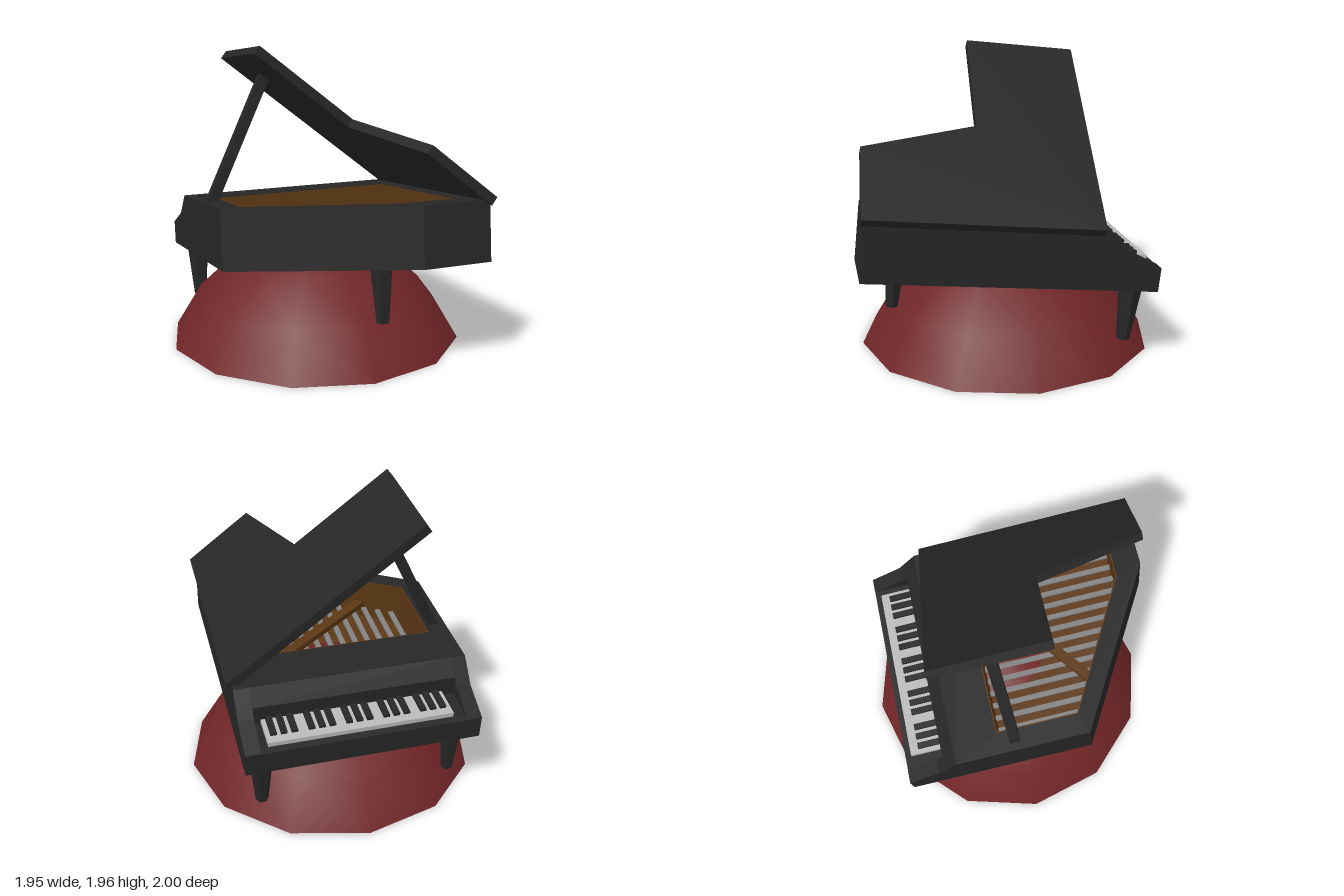
import * as THREE from 'three';

const mat = (name, color, extra = {}) => {
  const m = new THREE.MeshStandardMaterial({ color, ...extra });
  m.name = name;
  return m;
};

export function createModel() {
  const black = mat('black lacquer', 0x262626);
  const red = mat('dark red', 0x702527);
  const brown = mat('brown wood', 0x5c3714);
  const grey = mat('string grey', 0x808080);
  const white = mat('key white', 0xb8b8b8);

  const model = new THREE.Group();
  model.name = 'pianoOnMound';
  const piano = new THREE.Group();
  piano.name = 'piano';
  piano.position.y = 0.584;
  piano.rotation.x = -0.106;
  model.add(piano);

  const add = (parent, name, geometry, material) => {
    const mesh = new THREE.Mesh(geometry, material);
    mesh.name = name;
    parent.add(mesh);
    return mesh;
  };
  // Box given by its limits on each axis
  const box = (name, material, [x0, x1], [y0, y1], [z0, z1]) => {
    const g = new THREE.BoxGeometry(x1 - x0, y1 - y0, z1 - z0);
    g.translate((x0 + x1) / 2, (y0 + y1) / 2, (z0 + z1) / 2);
    return add(piano, name, g, material);
  };
  const pts = (list) => list.map(([a, b]) => new THREE.Vector2(a, b));
  // Plan outline (x, z) raised from y0 to y1, with an optional hole
  const slab = (outline, y0, y1, hole) => {
    const shape = new THREE.Shape(pts(outline));
    if (hole) shape.holes.push(new THREE.Path(pts(hole)));
    const g = new THREE.ExtrudeGeometry(shape, { depth: y1 - y0, bevelEnabled: false });
    return g.rotateX(Math.PI / 2).translate(0, y1, 0);
  };
  // Side profile (z, y) stretched from x0 to x1
  const across = (profile, x0, x1) => {
    const g = new THREE.ExtrudeGeometry(new THREE.Shape(pts(profile)), { depth: x1 - x0, bevelEnabled: false });
    return g.rotateY(-Math.PI / 2).translate(x1, 0, 0);
  };

  // Mound: twelve-sided dome with a flat underside
  const dome = [[0.975, 0], [0.8, 0.29], [0.535, 0.543], [0.23, 0.7], [0, 0.735]];
  add(model, 'mound', new THREE.LatheGeometry(pts(dome), 12), red).position.z = -0.025;
  const base = add(model, 'moundBase', new THREE.CircleGeometry(0.975, 12), red);
  base.rotation.x = Math.PI / 2;
  base.position.z = -0.025;

  // Case: rim around the open interior, base plate and wood lining
  const top = 0.381;
  const outer = [[-0.765, -0.4925], [0.745, -0.4925], [0.745, 1.005], [0.29, 1.005], [-0.765, 0.395]];
  const inner = [[-0.625, -0.2], [0.6, -0.2], [0.6, 0.83], [0.24, 0.83], [-0.625, 0.35]];
  const lining = [[-0.617, -0.192], [0.592, -0.192], [0.592, 0.822], [0.242, 0.822], [-0.617, 0.345]];
  add(piano, 'rim', slab(outer, 0, top, inner), black);
  add(piano, 'basePlate', slab(inner, 0, 0.08), black);
  add(piano, 'soundboard', slab(inner, 0.08, 0.087), brown);
  add(piano, 'lining', slab(inner, 0.087, top - 0.002, lining), brown);

  // Strings, each running back to the slanted side
  for (let i = 0; i < 14; i++) {
    const x = -0.56 + i * 0.0875;
    const end = Math.min(0.82, 0.345 + (x - 0.0175 + 0.617) * 0.555);
    box('string', grey, [x - 0.0175, x + 0.0175], [0.155, 0.17], [-0.195, end]);
  }
  // Diagonal brace above the strings
  const brace = add(piano, 'brace', new THREE.BoxGeometry(1.0, 0.04, 0.065), brown);
  brace.position.set(0.01, 0.195, 0.22);
  brace.rotation.y = Math.atan2(0.6, 0.82);

  // Keyboard end: two cheeks with the key bed and fallboard between
  const cheek = [[-0.4925, 0], [-0.4925, top], [-0.628, 0.244], [-0.845, 0.156], [-0.845, 0]];
  const bed = [[-0.4925, 0], [-0.4925, top], [-0.583, 0.288], [-0.583, 0.16],
    [-0.8, 0.16], [-0.845, 0.15], [-0.845, 0]];
  add(piano, 'cheek', across(cheek, -0.765, -0.67), black);
  add(piano, 'cheek', across(cheek, 0.645, 0.745), black);
  add(piano, 'keyBed', across(bed, -0.67, 0.645), black);
  box('whiteKeys', white, [-0.59, 0.595], [0.155, 0.19], [-0.8, -0.58]);
  for (let group = 0; group < 5; group++) {
    for (let k = 0; k < 3; k++) {
      const x = -0.54 + group * 0.239 + k * 0.066;
      box('blackKey', black, [x - 0.02, x + 0.02], [0.185, 0.208], [-0.742, -0.58]);
    }
  }

  // Raised lid, hinged along the right side
  const plan = [[0, -0.45], [0, 1.026], [-0.543, 1.024], [-0.772, 0.292], [-1.547, 0.29], [-1.547, -0.45]];
  const lid = add(piano, 'lid', slab(plan, -0.06, 0), black);
  lid.position.set(0.782, 0.394, 0);
  lid.rotation.z = -0.672;

  // Prop stick between the left rim and the lid
  const foot = new THREE.Vector2(-0.7, 0.34);
  const head = new THREE.Vector2(-0.285, 1.18);
  const prop = add(piano, 'propStick', new THREE.BoxGeometry(0.065, foot.distanceTo(head), 0.07), black);
  prop.position.set((foot.x + head.x) / 2, (foot.y + head.y) / 2, -0.088);
  prop.rotation.z = -Math.atan2(head.x - foot.x, head.y - foot.y);

  // Three tapered six-sided legs
  const legGeometry = new THREE.CylinderGeometry(0.0775, 0.0425, 0.37, 6).rotateY(Math.PI / 6).toNonIndexed();
  legGeometry.computeVertexNormals();
  for (const [x, z] of [[-0.635, -0.707], [0.62, -0.707], [0.137, 0.731]]) {
    add(piano, 'leg', legGeometry, black).position.set(x, -0.175, z);
  }
  return model;
}
